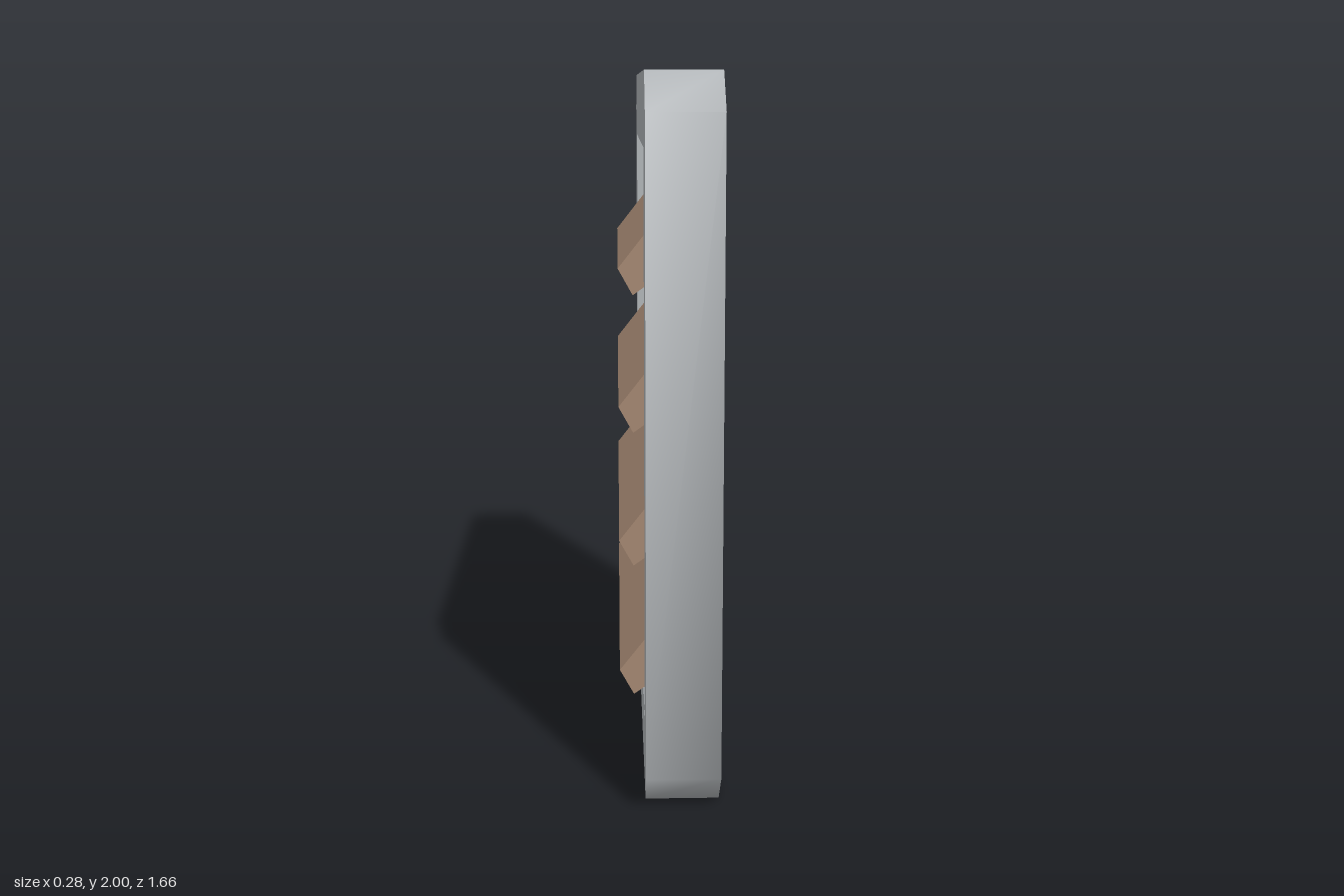
import * as THREE from 'three';
import { toCreasedNormals } from 'three/addons/utils/BufferGeometryUtils.js';

const points = (list) => list.map(([x, y]) => new THREE.Vector2(x, y));

// Straight extrusion, smooth over shallow bends and sharp at steep ones
function extrude(shape, depth) {
  const geometry = new THREE.ExtrudeGeometry(shape, { depth, bevelEnabled: false });
  return toCreasedNormals(geometry, 0.95);
}

export function createModel() {
  const group = new THREE.Group();
  const greyFrame = new THREE.MeshStandardMaterial({ name: 'grey frame', color: 0xb2b6b9 });
  const brownSlat = new THREE.MeshStandardMaterial({ name: 'brown slat', color: 0xa58872 });

  // Frame: rectangle with cut corners and a rectangular opening
  const w = 0.83, h = 2, cut = 0.105;
  const outline = new THREE.Shape(points([
    [-w + cut, 0], [w - cut, 0], [w, cut], [w, h - cut],
    [w - cut, h], [-w + cut, h], [-w, h - cut], [-w, cut],
  ]));
  const inner = 0.622;
  outline.holes.push(new THREE.Path(points([
    [-inner, 0.203], [-inner, 1.8], [inner, 1.8], [inner, 0.203],
  ])));
  const frame = new THREE.Mesh(extrude(outline, 0.205), greyFrame);
  frame.name = 'frame';
  frame.rotation.y = Math.PI / 2;
  frame.position.x = -0.07;
  group.add(frame);

  // Slats: tilted five-sided louvres, flat on one side and rounded on the other
  const profile = new THREE.Shape(points([
    [-0.14, 0.342], [-0.1, 0.27], [0.09, 0.405], [0.12, 0.492], [0.075, 0.617],
  ]));
  const slatGeometry = extrude(profile, inner * 2);
  for (let i = 0; i < 4; i++) {
    const slat = new THREE.Mesh(slatGeometry, brownSlat);
    slat.name = `slat${i + 1}`;
    slat.position.set(0, i * 0.379, -inner);
    group.add(slat);
  }
  return group;
}
